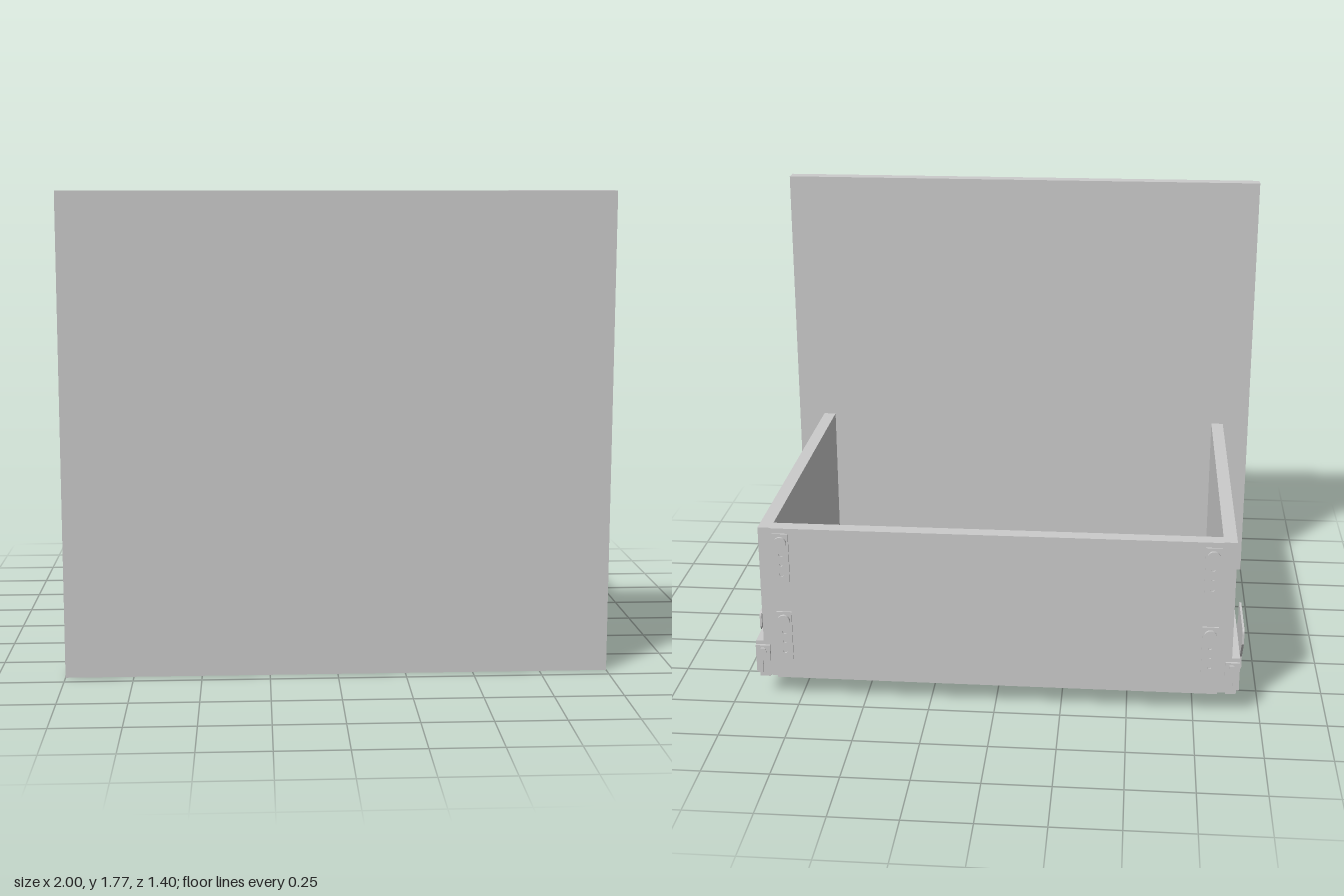
import * as THREE from 'three';

const material = new THREE.MeshStandardMaterial({ color: 0xcccccc });

// Box given by its two extreme corners
function box(parent, name, [x0, x1], [y0, y1], [z0, z1]) {
  const mesh = new THREE.Mesh(new THREE.BoxGeometry(Math.abs(x1 - x0), y1 - y0, z1 - z0), material);
  mesh.position.set((x0 + x1) / 2, (y0 + y1) / 2, (z0 + z1) / 2);
  mesh.name = name;
  parent.add(mesh);
  return mesh;
}

// Vertical plate drawn in (z, y) and extruded across x
function sidePlate(parent, name, shape, side, inner, outer) {
  const geometry = new THREE.ExtrudeGeometry(shape, { depth: outer - inner, bevelEnabled: false, curveSegments: 6 });
  geometry.rotateY(-Math.PI / 2);
  const mesh = new THREE.Mesh(geometry, material);
  mesh.position.x = side > 0 ? outer : -inner;
  mesh.name = name;
  parent.add(mesh);
}

// Front clip plate with two rounded top corners
function frontClipShape() {
  const s = new THREE.Shape();
  s.moveTo(0.345, 0.07);
  s.lineTo(0.6, 0.07);
  s.lineTo(0.6, 0.24);
  s.quadraticCurveTo(0.6, 0.265, 0.58, 0.265);
  s.lineTo(0.365, 0.265);
  s.quadraticCurveTo(0.345, 0.265, 0.345, 0.24);
  s.closePath();
  return s;
}

// Rear clip plate, leaning backward above its foot
function rearClipShape() {
  const s = new THREE.Shape();
  s.moveTo(-0.44, 0.067);
  s.lineTo(-0.18, 0.067);
  s.lineTo(-0.18, 0.11);
  s.lineTo(-0.25, 0.195);
  s.lineTo(-0.25, 0.245);
  s.quadraticCurveTo(-0.25, 0.265, -0.27, 0.265);
  s.lineTo(-0.495, 0.265);
  s.quadraticCurveTo(-0.512, 0.265, -0.512, 0.245);
  s.lineTo(-0.512, 0.205);
  s.lineTo(-0.44, 0.115);
  s.closePath();
  return s;
}

// Perforated fixing plate with a raised cap, on the back panel
function backBracket(name, x, y) {
  const group = new THREE.Group();
  group.name = name;
  const s = new THREE.Shape();
  s.moveTo(-0.03, 0);
  s.lineTo(0.03, 0);
  s.lineTo(0.03, 0.2);
  s.lineTo(-0.03, 0.2);
  s.closePath();
  for (const [hx, hy, r] of [[0, 0.035, 0.008], [0, 0.075, 0.006], [0, 0.115, 0.008]]) {
    const hole = new THREE.Path();
    hole.absarc(hx, hy, r, 0, Math.PI * 2, true);
    s.holes.push(hole);
  }
  const plate = new THREE.Mesh(
    new THREE.ExtrudeGeometry(s, { depth: 0.009, bevelEnabled: false, curveSegments: 8 }), material);
  plate.name = 'bracketPlate';
  group.add(plate);
  const cap = new THREE.Mesh(new THREE.CylinderGeometry(0.024, 0.024, 0.01, 20), material);
  cap.rotation.x = Math.PI / 2;
  cap.position.set(0, 0.165, -0.005);
  cap.name = 'bracketCap';
  group.add(cap);
  group.position.set(x, y, -0.691);
  return group;
}

export function createModel() {
  const model = new THREE.Group();
  model.name = 'drawer';

  // Wooden panels
  box(model, 'frontPanel', [-1, 1], [0, 1.77], [0.64, 0.7]);
  box(model, 'backPanel', [-0.84, 0.84], [0.08, 0.7], [-0.685, -0.63]);
  box(model, 'floorPanel', [-0.84, 0.84], [0.085, 0.12], [-0.63, 0.64]);

  for (const side of [1, -1]) {
    const runner = new THREE.Group();
    runner.name = side > 0 ? 'leftSide' : 'rightSide';
    model.add(runner);
    const part = (name, x0, x1, y, z) => box(runner, name, [side * x0, side * x1], y, z);

    part('sideWall', 0.84, 0.89, [0.085, 0.7], [-0.68, 0.64]);

    // Runner profile with lower rails
    part('runnerBody', 0.89, 0.92, [0.1, 0.23], [-0.68, 0.64]);
    part('runnerLowerRail', 0.87, 0.92, [0.073, 0.1], [-0.53, 0.6]);
    part('runnerFrontFoot', 0.87, 0.915, [0.08, 0.1], [0.6, 0.64]);
    part('runnerRearFoot', 0.87, 0.91, [0.08, 0.1], [-0.68, -0.53]);

    // Clips: thin outer plate, foot turned in underneath
    sidePlate(runner, 'frontClip', frontClipShape(), side, 0.936, 0.944);
    part('frontClipFoot', 0.88, 0.944, [0.066, 0.073], [0.345, 0.6]);
    sidePlate(runner, 'rearClip', rearClipShape(), side, 0.936, 0.944);
    part('rearClipFoot', 0.88, 0.944, [0.063, 0.073], [-0.44, -0.18]);

    // Notched metal end of the runner
    part('runnerEndPlate', 0.865, 0.92, [0.15, 0.215], [-0.69, -0.68]);
    part('runnerEndHook', 0.895, 0.92, [0.1, 0.15], [-0.688, -0.68]);
    part('runnerEndTab', 0.88, 0.9, [0.185, 0.205], [-0.697, -0.69]);

    // Fixing plates on the back
    runner.add(backBracket('upperBackBracket', side * 0.805, 0.48));
    runner.add(backBracket('lowerBackBracket', side * 0.805, 0.16));
  }
  return model;
}
